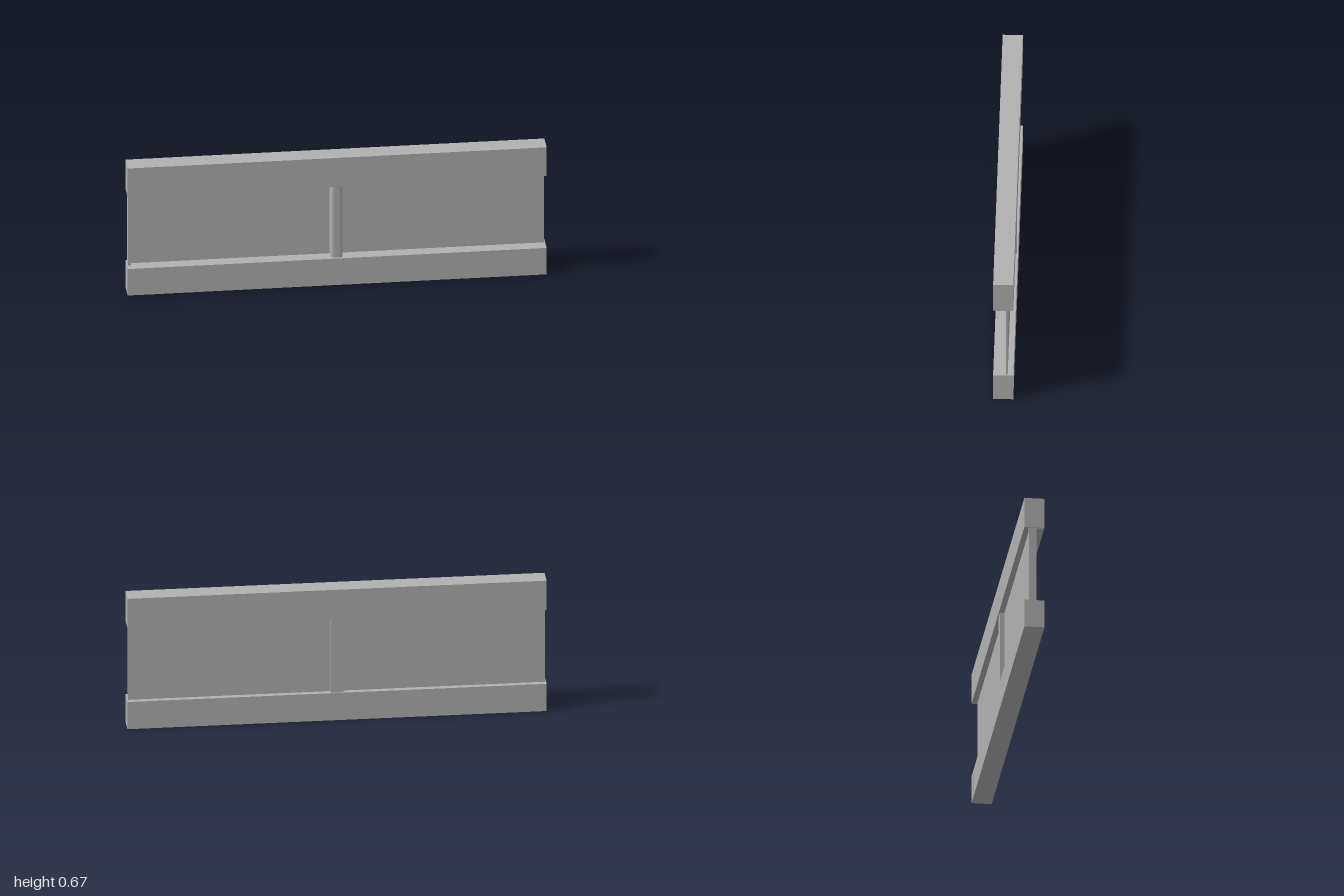
import * as THREE from 'three';

export function createModel() {
  const group = new THREE.Group();
  const grey = new THREE.MeshStandardMaterial({ color: 0xb0b0b0 });
  grey.name = 'plain grey';

  const add = (name, geometry, x = 0, y = 0, z = 0) => {
    const mesh = new THREE.Mesh(geometry, grey);
    mesh.name = name;
    mesh.position.set(x, y, z);
    group.add(mesh);
    return mesh;
  };
  const box = (name, w, y0, y1, z0, z1, x = 0) =>
    add(name, new THREE.BoxGeometry(w, y1 - y0, z1 - z0), x, (y0 + y1) / 2, (z0 + z1) / 2);

  // Rails and the thin panel between them
  box('bottomRail', 2, 0, 0.14, -0.048, 0.048);
  box('topRail', 2, 0.52, 0.672, -0.048, 0.048);
  box('panel', 1.99, 0.13, 0.53, -0.021, -0.013);

  // Slightly sagging lower lip of the top rail, one per bay
  for (const side of [-1, 1]) {
    const lip = new THREE.Shape();
    lip.moveTo(side * 0.03, 0.525);
    lip.lineTo(side * 0.03, 0.519);
    lip.bezierCurveTo(side * 0.3, 0.503, side * 0.6, 0.503, side * 0.99, 0.518);
    lip.lineTo(side * 0.99, 0.525);
    add('railLip', new THREE.ExtrudeGeometry(lip, { depth: 0.058, bevelEnabled: false, curveSegments: 16 }), 0, 0, -0.015);
  }

  // Rounded middle post, proud of the panel on both faces
  const section = new THREE.Shape();
  section.moveTo(-0.03, 0.042);
  section.lineTo(0.03, 0.042);
  section.lineTo(0.03, -0.018);
  section.quadraticCurveTo(0.028, -0.038, 0.012, -0.038);
  section.lineTo(-0.012, -0.038);
  section.quadraticCurveTo(-0.028, -0.038, -0.03, -0.018);
  section.closePath();
  const post = new THREE.ExtrudeGeometry(section, { depth: 0.39, bevelEnabled: false, curveSegments: 6 });
  post.rotateX(-Math.PI / 2);
  add('middlePost', post, 0, 0.135, 0);

  // Narrow end strip closing one side of the panel
  box('endStrip', 0.015, 0.135, 0.525, -0.026, 0.01, -0.9875);

  // Shallow upright joints near the ends of the bottom rail
  for (const x of [-0.932, 0.932])
    for (const z of [-0.048, 0.048]) box('railJoint', 0.004, 0.03, 0.12, z - 0.001, z + 0.001, x);

  return group;
}
